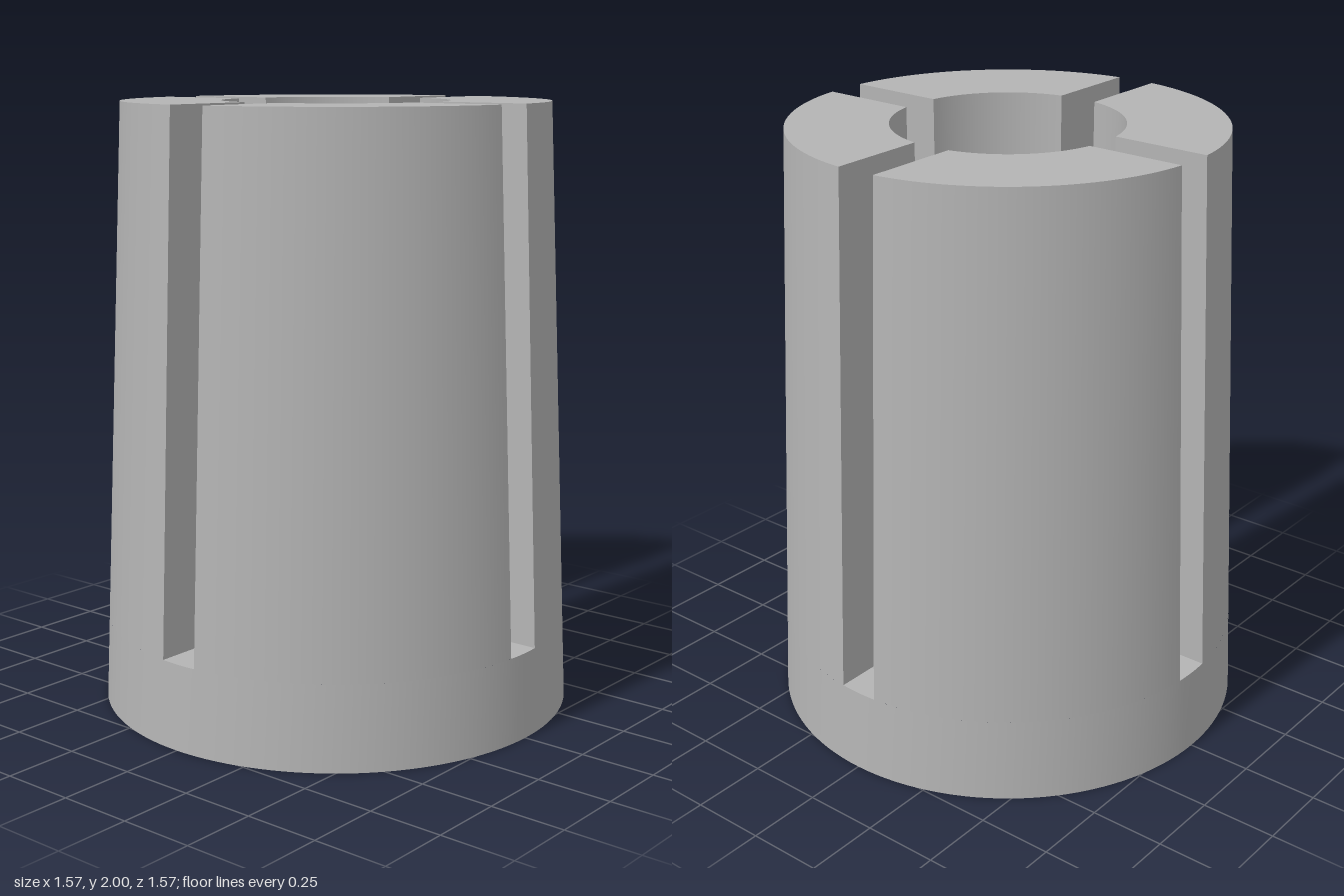
import * as THREE from 'three';
import { mergeGeometries } from 'three/addons/utils/BufferGeometryUtils.js';

const HEIGHT = 2, FLOOR = 0.28, HALF_SLOT = 0.067, BORE = 0.373;
const outer = (y) => THREE.MathUtils.lerp(0.786, 0.7, y / HEIGHT);
const { lerp } = THREE.MathUtils;

// Bends a plane into a surface; it faces along (u direction) x (v direction).
function patch(nu, nv, at) {
  const g = new THREE.PlaneGeometry(1, 1, nu, nv);
  const { position, uv } = g.attributes;
  for (let i = 0; i < position.count; i++) {
    position.setXYZ(i, ...at(uv.getX(i), uv.getY(i)));
  }
  g.computeVertexNormals();
  return g;
}

const polar = (r, a, y) => [r * Math.cos(a), y, -r * Math.sin(a)];

// Point on a jaw: t runs from one slot to the next, along radius r.
function jawPoint(r, t, y) {
  const a = Math.asin(HALF_SLOT / r);
  return polar(r, lerp(a, Math.PI / 2 - a, t), y);
}

// Point across a slot, on radius r.
function slotPoint(r, t, y) {
  const a = Math.asin(HALF_SLOT / r);
  return polar(r, lerp(-a, a, t), y);
}

export function createModel() {
  const metal = new THREE.MeshStandardMaterial({ color: 0xb4b4b4 });
  metal.name = 'grey metal';
  const model = new THREE.Group();
  model.name = 'slottedTaperedSleeve';
  const rise = (v) => lerp(FLOOR, HEIGHT, v);
  const add = (name, parts, turn = 0) => {
    const mesh = new THREE.Mesh(mergeGeometries(parts), metal);
    mesh.name = name;
    mesh.rotation.y = turn;
    model.add(mesh);
  };

  // Solid ring below the slots: outer wall, bore and underside
  const turn = Math.PI * 2;
  add('baseRing', [
    patch(128, 1, (u, v) => polar(outer(v * FLOOR), u * turn, v * FLOOR)),
    patch(128, 1, (u, v) => polar(BORE, -u * turn, v * FLOOR)),
    patch(128, 1, (u, v) => polar(lerp(BORE, outer(0), v), u * turn, 0)),
  ]);

  // Four jaws with the slot floors between them
  const jaw = [
    patch(32, 1, (u, v) => jawPoint(outer(rise(v)), u, rise(v))),
    patch(32, 1, (u, v) => jawPoint(BORE, 1 - u, rise(v))),
    patch(1, 1, (u, v) => jawPoint(lerp(outer(rise(v)), BORE, u), 1, rise(v))),
    patch(1, 1, (u, v) => jawPoint(lerp(BORE, outer(rise(v)), u), 0, rise(v))),
    patch(32, 1, (u, v) => jawPoint(lerp(outer(HEIGHT), BORE, v), u, HEIGHT)),
  ];
  const floor = [patch(8, 1, (u, v) => slotPoint(lerp(outer(FLOOR), BORE, v), u, FLOOR))];
  for (let i = 0; i < 4; i++) {
    add(`jaw${i + 1}`, jaw, i * Math.PI / 2);
    add(`slotFloor${i + 1}`, floor, i * Math.PI / 2);
  }
  return model;
}
